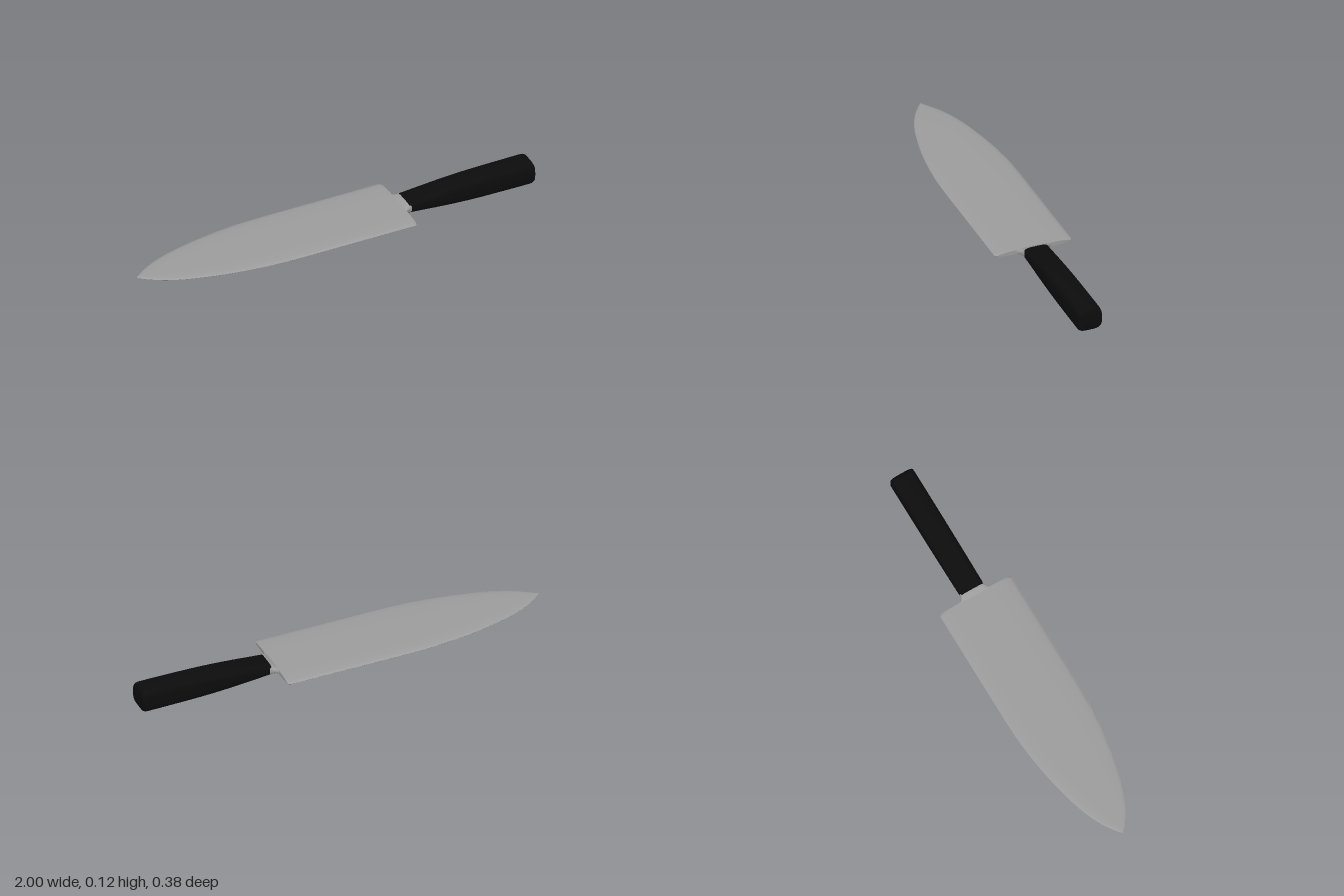
import * as THREE from 'three';
import { mergeVertices, toCreasedNormals } from 'three/addons/utils/BufferGeometryUtils.js';

const AXIS_Y = 0.063;
const SEGMENTS = 48;

// Cross-sections as unit [z, y] for an angle
const lens = (a) => {
  const t = Math.cos(a);
  return [t, Math.sign(Math.sin(a)) * Math.pow(Math.max(0, 1 - t ** 4), 0.55)];
};
const roundedSquare = (a) => [Math.cos(a), Math.sin(a)].map((v) => Math.sign(v) * Math.abs(v) ** 0.53);

// Skins a row of sections [x, half width, half height] and closes both ends
function loft(sections, outline, crease) {
  const first = sections[0], last = sections[sections.length - 1];
  const rows = [[first[0], 0.0001, 0.0001], ...sections, [last[0], 0.0001, 0.0001]];
  const positions = [], index = [];
  rows.forEach(([x, w, h], i) => {
    for (let j = 0; j < SEGMENTS; j++) {
      const [z, y] = outline((j / SEGMENTS) * Math.PI * 2);
      positions.push(x, AXIS_Y + y * h, z * w);
      if (i === rows.length - 1) continue;
      const k = (j + 1) % SEGMENTS;
      const a = i * SEGMENTS + j, b = a + SEGMENTS;
      const c = i * SEGMENTS + k, d = c + SEGMENTS;
      index.push(a, b, c, c, b, d);
    }
  });
  const geometry = new THREE.BufferGeometry();
  geometry.setAttribute('position', new THREE.Float32BufferAttribute(positions, 3));
  geometry.setIndex(index);
  return toCreasedNormals(mergeVertices(geometry, 1e-6), crease);
}

// Smooths a few sections into many along x
function refine(sections, count) {
  const curve = new THREE.CatmullRomCurve3(sections.map((s) => new THREE.Vector3(...s)));
  return curve.getPoints(count).map((p) => [p.x, p.y, p.z]);
}

export function createModel() {
  const steel = new THREE.MeshStandardMaterial({ color: 0x9c9c9c });
  steel.name = 'steel';
  const black = new THREE.MeshStandardMaterial({ color: 0x0c0c0c });
  black.name = 'black';

  const model = new THREE.Group();
  model.name = 'kitchenKnife';
  const add = (name, geometry, material) => {
    const mesh = new THREE.Mesh(geometry, material);
    mesh.name = name;
    model.add(mesh);
  };

  // Blade: pointed at the tip, full width to a square heel
  const bladeCurve = refine([
    [-1, 0.002, 0.003], [-0.97, 0.027, 0.004], [-0.9, 0.071, 0.006], [-0.8, 0.112, 0.0075],
    [-0.6, 0.16, 0.009], [-0.4, 0.185, 0.01], [-0.25, 0.19, 0.0105],
  ], 36);
  const heel = [[0.0, 0.19, 0.0105], [0.322, 0.19, 0.0105], [0.331, 0.187, 0.0105], [0.335, 0.178, 0.0105]];
  add('blade', loft([...bladeCurve, ...heel], lens, 0.6), steel);

  // Bolster: concave flare from the heel to the handle
  add('bolster', loft(refine([
    [0.31, 0.09, 0.0085], [0.334, 0.087, 0.0115], [0.34, 0.076, 0.015],
    [0.35, 0.067, 0.021], [0.37, 0.061, 0.025],
  ], 16), roundedSquare, 0.7), steel);

  // Handle: constant width, swelling in height to a softly rounded end
  const grip = refine([
    [0.36, 0.0605, 0.026], [0.42, 0.0605, 0.033], [0.5, 0.0605, 0.042],
    [0.6, 0.0605, 0.051], [0.7, 0.0605, 0.0565], [0.85, 0.0605, 0.0595], [0.975, 0.0605, 0.0605],
  ], 28);
  const butt = [[0.986, 0.0605, 0.059], [0.995, 0.06, 0.054], [1, 0.0585, 0.045]];
  add('handle', loft([...grip, ...butt], roundedSquare, 0.6), black);

  return model;
}
